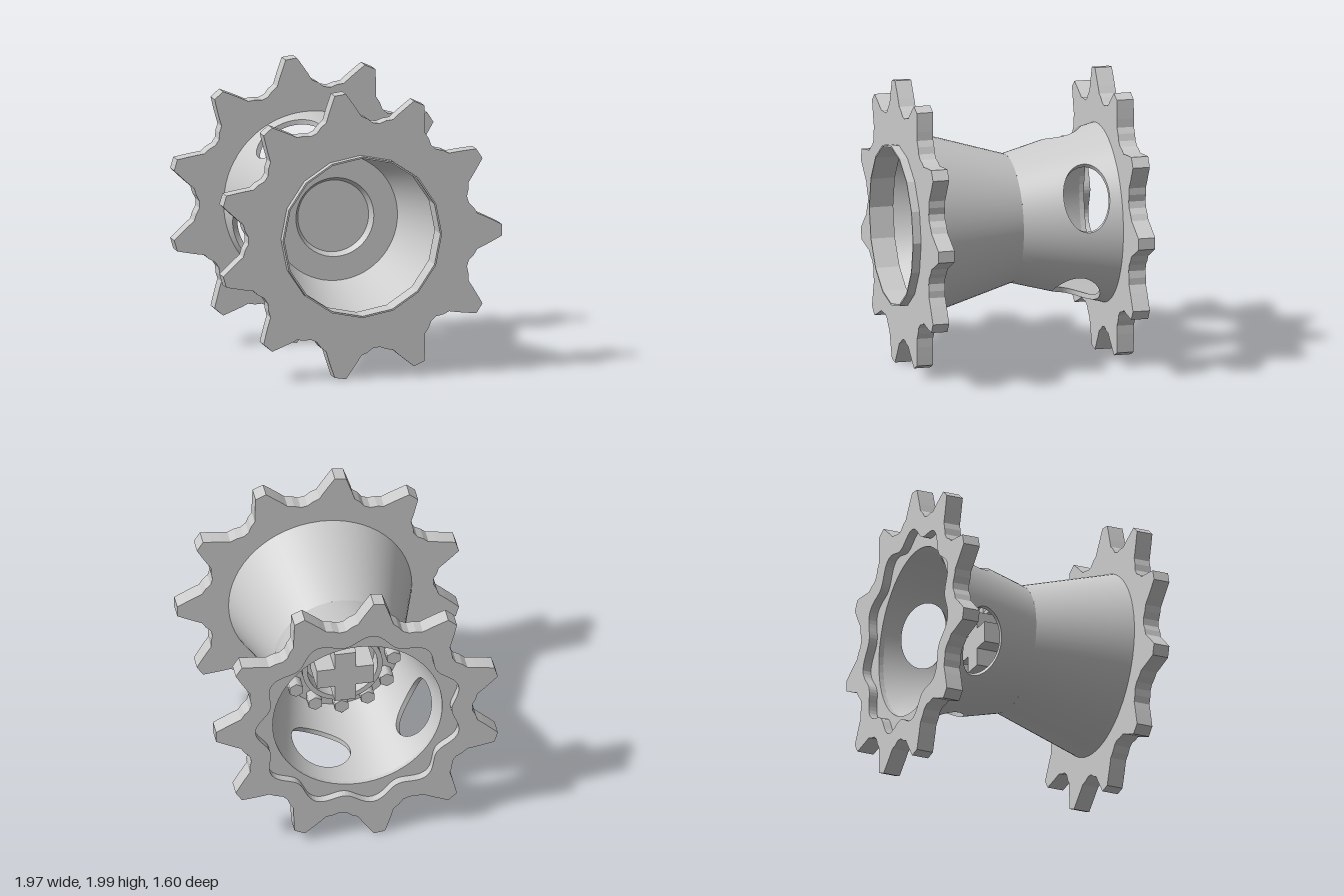
import * as THREE from 'three';
import { ParametricGeometry } from 'three/addons/geometries/ParametricGeometry.js';

const mat = new THREE.MeshStandardMaterial({ color: 0xcccccc, side: THREE.DoubleSide });
const TEETH = 11;
const WAIST = -0.02;

// Drum radius: narrow at the waist, flaring to both ends
const drumRadius = (z) => 0.445 + (z > WAIST ? (z - WAIST) * 0.3 : (WAIST - z) * 0.265);

function add(parent, name, geometry, z = 0) {
  const mesh = new THREE.Mesh(geometry, mat);
  mesh.name = name;
  mesh.position.z = z;
  parent.add(mesh);
  return mesh;
}

// Sprocket outline: one half tooth profile (radial, sideways) mirrored and repeated
function sprocketShape() {
  const half = [[0.765, 0.2], [0.8, 0.165], [0.825, 0.125], [0.88, 0.1], [0.94, 0.07], [0.998, 0.04]];
  const tooth = [...half.map(([r, s]) => [r, -s]), ...half.slice().reverse()];
  const points = [];
  for (let i = 0; i < TEETH; i++) {
    const a = (i / TEETH) * Math.PI * 2;
    for (const [r, s] of tooth) {
      points.push(new THREE.Vector2(r * Math.cos(a) - s * Math.sin(a), r * Math.sin(a) + s * Math.cos(a)));
    }
  }
  return new THREE.Shape(points);
}

// Closed loop of points with the radius given as a function of the angle
function loop(count, radius) {
  const points = [];
  for (let i = 0; i < count; i++) {
    const a = (i / count) * Math.PI * 2;
    points.push(new THREE.Vector2(Math.cos(a), Math.sin(a)).multiplyScalar(radius(a)));
  }
  return points;
}

function plate(shape, hole, depth) {
  if (hole) shape.holes.push(new THREE.Path(hole));
  return new THREE.ExtrudeGeometry(shape, { depth, bevelEnabled: false });
}

// Lathe about the z axis from (radius, z) pairs, each straight run kept sharp
function turned(parent, name, profile, segments = 64) {
  const group = new THREE.Group();
  group.name = name;
  for (let i = 0; i < profile.length - 1; i++) {
    const run = [profile[i], profile[i + 1]].map(([r, z]) => new THREE.Vector2(r, z));
    add(group, name + 'Surface', new THREE.LatheGeometry(run, segments).rotateX(Math.PI / 2));
  }
  parent.add(group);
}

// Quarter of the rear drum: a curved wall panel around one oval opening
function rearPanel(parent, centreAngle) {
  const thickness = 0.035, zNear = WAIST, zFar = -0.72;
  const point = (u, v, depth, target) => {
    const t = u * Math.PI * 2, c = Math.cos(t), s = Math.sin(t);
    const m = Math.max(Math.abs(c), Math.abs(s));
    const edgeA = (c / m) * Math.PI / 4;
    const edgeZ = (zNear + zFar) / 2 + (s / m) * (zNear - zFar) / 2;
    const a = centreAngle + THREE.MathUtils.lerp(c * 0.445, edgeA, v);
    const z = THREE.MathUtils.lerp(-0.45 + s * 0.152, edgeZ, v);
    const r = drumRadius(z) - depth;
    target.set(r * Math.cos(a), r * Math.sin(a), z);
  };
  const group = new THREE.Group();
  group.name = 'rearDrumPanel';
  add(group, 'outerWall', new ParametricGeometry((u, v, p) => point(u, v, 0, p), 64, 8));
  add(group, 'innerWall', new ParametricGeometry((u, v, p) => point(u, 1 - v, thickness, p), 64, 8));
  add(group, 'openingRim', new ParametricGeometry((u, v, p) => point(u, 0, (1 - v) * thickness, p), 64, 1));
  parent.add(group);
}

export function createModel() {
  const model = new THREE.Group();
  model.name = 'doubleSprocketDrum';
  const hub = new THREE.Group();
  hub.name = 'hub';
  hub.position.set(-0.015, 1, 0);
  model.add(hub);

  // Front sprocket and its faceted collar
  add(hub, 'frontSprocket', plate(sprocketShape(), loop(16, () => 0.56), 0.115), 0.63);
  add(hub, 'frontCollar', plate(new THREE.Shape(loop(16, () => 0.562)), loop(16, () => 0.55), 0.17), 0.632);

  // Rear sprocket: floor plate plus an outer layer with a scalloped recess
  add(hub, 'rearSprocketFloor', plate(sprocketShape(), loop(64, () => 0.592), 0.06), -0.74);
  add(hub, 'rearSprocketRim',
    plate(sprocketShape(), loop(176, (a) => 0.685 + 0.038 * Math.cos(TEETH * a)), 0.06), -0.8);

  // Front cone of the drum
  turned(hub, 'frontDrumWall', [[0.445, WAIST], [drumRadius(0.635), 0.635]]);
  turned(hub, 'frontDrumLining', [[drumRadius(0.635) - 0.01, 0.635], [0.436, WAIST]]);

  // Rear cone with four oval openings
  for (let i = 0; i < 4; i++) rearPanel(hub, THREE.MathUtils.degToRad(25) + i * Math.PI / 2);

  // Bulkhead at the waist with a shallow tapered recess
  turned(hub, 'bulkhead', [[0, -0.05], [0.25, -0.05], [0.275, 0], [0.443, 0], [0.415, -0.06], [0, -0.06]]);

  // Bearing housing behind the bulkhead
  turned(hub, 'bearingHousing', [[0.28, -0.06], [0.28, -0.19], [0.245, -0.19], [0.245, -0.06]], 48);

  // Cross-shaped axle end
  const w = 0.075, l = 0.2, cross = [];
  for (let i = 0; i < 4; i++) {
    for (const [x, y] of [[w, -w], [l, -w], [l, w]]) {
      cross.push(new THREE.Vector2(x, y).rotateAround(new THREE.Vector2(), i * Math.PI / 2));
    }
  }
  add(hub, 'axleCross', plate(new THREE.Shape(cross), null, 0.24), -0.3);

  // Ring of hexagonal bolts
  for (let i = 0; i < 12; i++) {
    const a = (i / 12) * Math.PI * 2;
    const bolt = add(hub, 'bolt', new THREE.CylinderGeometry(0.053, 0.053, 0.1, 6).rotateX(Math.PI / 2), -0.11);
    bolt.position.x = 0.365 * Math.cos(a);
    bolt.position.y = 0.365 * Math.sin(a);
  }
  return model;
}
